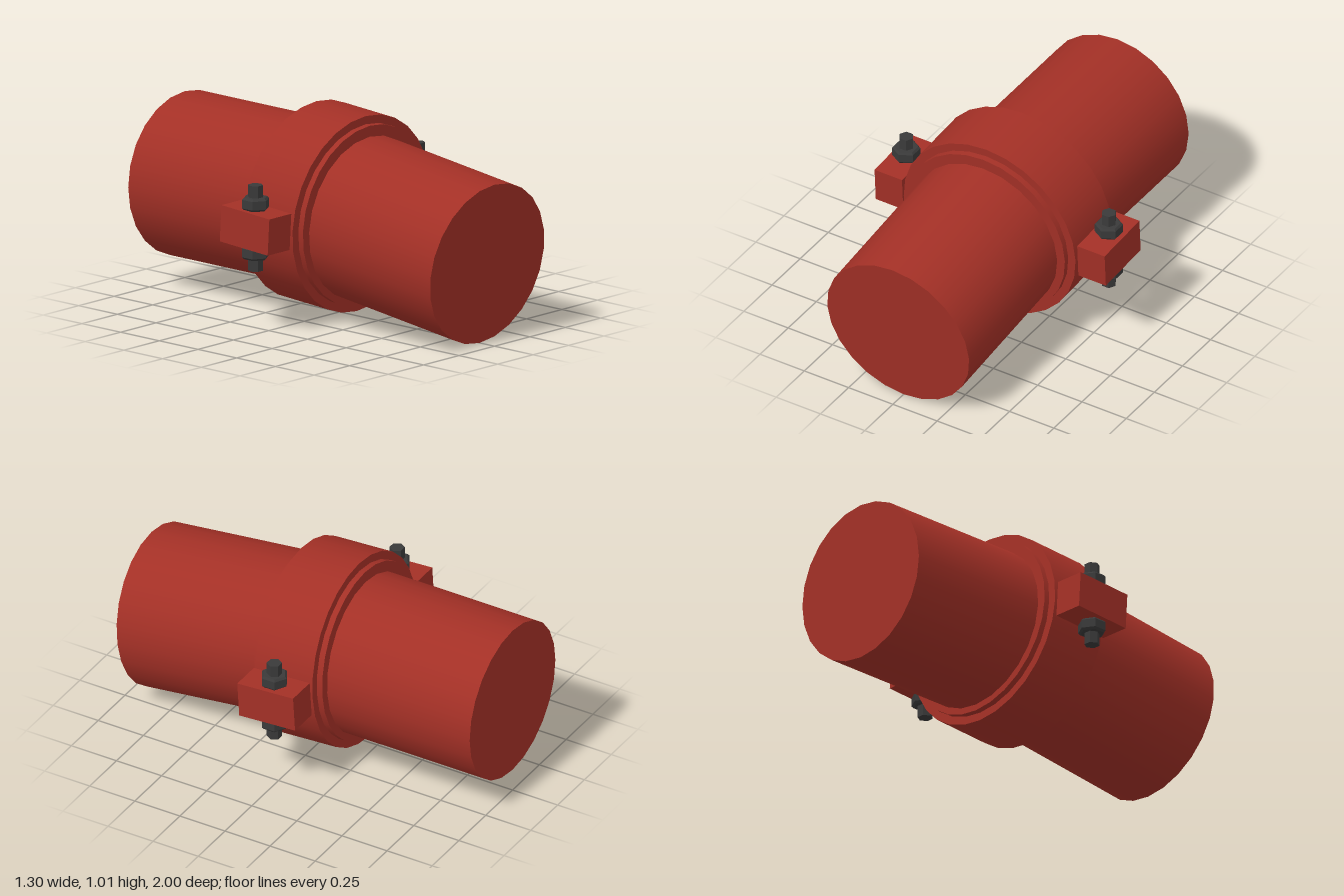
import * as THREE from 'three';

const red = new THREE.MeshStandardMaterial({ color: 0xa33026 });
red.name = 'red paint';
const steel = new THREE.MeshStandardMaterial({ color: 0x3a3a3a });
steel.name = 'dark steel';

const BEND = THREE.MathUtils.degToRad(7);

function add(parent, name, geometry, material, x = 0, y = 0, z = 0) {
  const mesh = new THREE.Mesh(geometry, material);
  mesh.name = name;
  mesh.position.set(x, y, z);
  parent.add(mesh);
  return mesh;
}

// Cylinder lying along z
function tube(radius, length, sides) {
  return new THREE.CylinderGeometry(radius, radius, length, sides).rotateX(Math.PI / 2);
}

// Hexagonal nut with chamfered corners, points facing z
function nutGeometry() {
  const r = 0.068, h = 0.031, c = 0.01;
  const profile = [[0, -h], [r - c, -h], [r, -h + c], [r, h - c], [r - c, h], [0, h]];
  const lathe = new THREE.LatheGeometry(profile.map(([x, y]) => new THREE.Vector2(x, y)), 6);
  const flat = lathe.toNonIndexed();
  flat.computeVertexNormals();
  return flat;
}

export function createModel() {
  const model = new THREE.Group();
  model.name = 'pipeCoupling';

  // Everything pivots about the bend point
  const joint = new THREE.Group();
  joint.name = 'joint';
  joint.position.set(0, 0.52, -0.02);
  model.add(joint);

  // Straight rear pipe and drooping front pipe
  add(joint, 'rearPipe', tube(0.4, 0.98, 24), red, 0, 0, -0.49);
  const front = new THREE.Group();
  front.name = 'frontPipeArm';
  front.rotation.x = BEND;
  joint.add(front);
  add(front, 'frontPipe', tube(0.4, 0.98, 24), red, 0, 0, 0.49);

  // Clamp sits at half the bend angle
  const clamp = new THREE.Group();
  clamp.name = 'clamp';
  clamp.rotation.x = BEND / 2;
  joint.add(clamp);
  add(clamp, 'clampRing', tube(0.485, 0.32, 28), red);
  add(clamp, 'gasketRing', tube(0.444, 0.38, 28), red);

  // Side lugs with upright bolts
  const nut = nutGeometry();
  const rod = new THREE.CylinderGeometry(0.037, 0.037, 0.42, 6).rotateY(Math.PI / 6).toNonIndexed();
  rod.computeVertexNormals();
  for (const [side, name] of [[1, 'left'], [-1, 'right']]) {
    const x = side * 0.572;
    add(clamp, name + 'Lug', new THREE.BoxGeometry(0.155, 0.18, 0.31), red, x, 0, 0);
    add(joint, name + 'Bolt', rod, steel, x, 0, 0);
    add(joint, name + 'UpperNut', nut, steel, x, 0.12, 0);
    add(joint, name + 'LowerNut', nut, steel, x, -0.12, 0);
  }
  return model;
}
